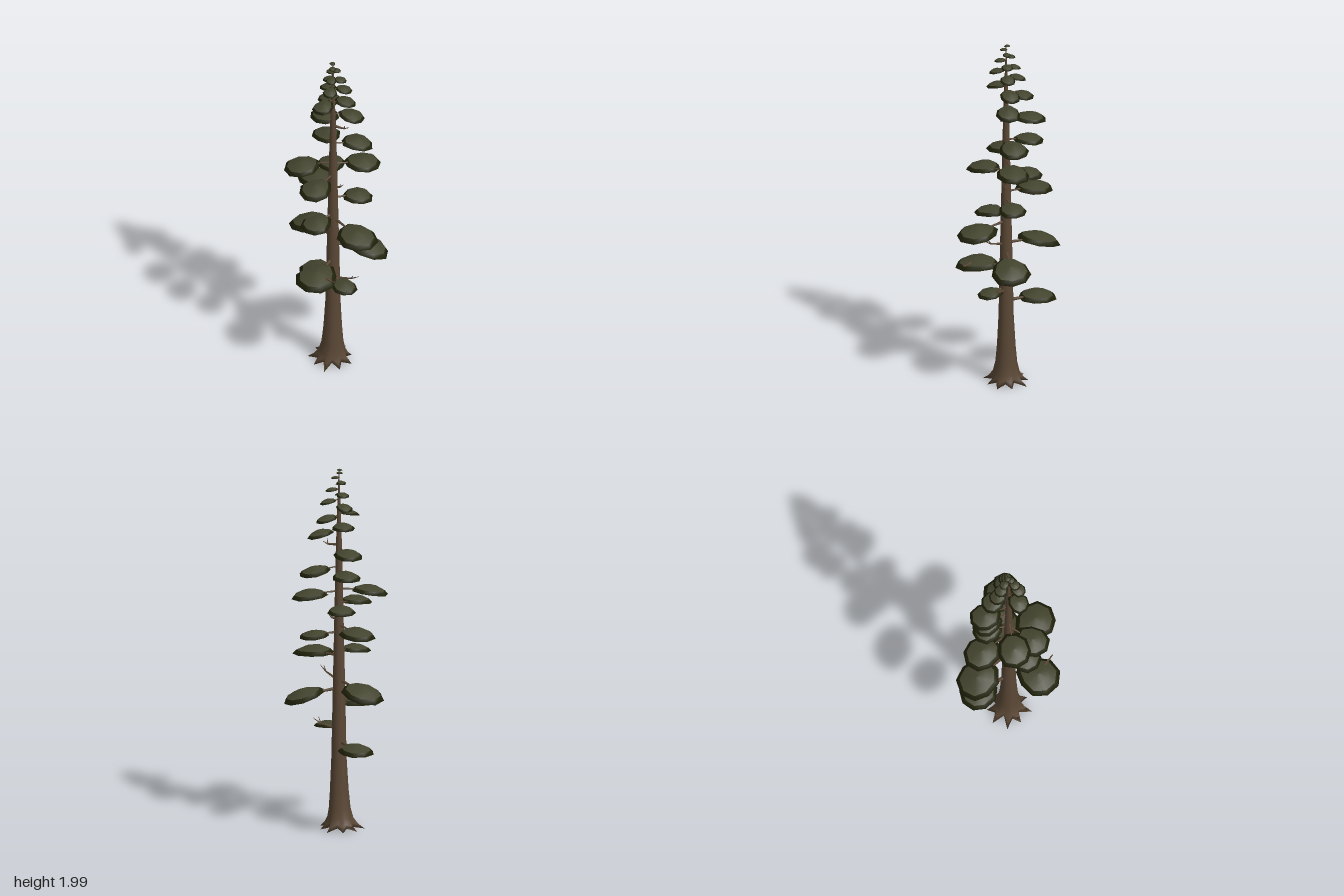
import * as THREE from 'three';

const bark = new THREE.MeshStandardMaterial({ color: 0x5a4735 });
bark.name = 'bark';
const needles = new THREE.MeshStandardMaterial({ color: 0x43442e });
needles.name = 'needles';
const darkNeedles = new THREE.MeshStandardMaterial({ color: 0x23250c });
darkNeedles.name = 'darkNeedles';

const AXIS_Z = -0.037;

// Surface through stacked rings, listed from bottom to top
function loft(rows, sides, point) {
  const pos = [], index = [];
  rows.forEach((row, i) => {
    for (let j = 0; j < sides; j++) {
      pos.push(...point(row, (j / sides) * Math.PI * 2, j));
      if (i === rows.length - 1) continue;
      const a = i * sides + j, b = i * sides + (j + 1) % sides;
      index.push(a, a + sides, b, b, a + sides, b + sides);
    }
  });
  const g = new THREE.BufferGeometry();
  g.setAttribute('position', new THREE.Float32BufferAttribute(pos, 3));
  g.setIndex(index);
  g.computeVertexNormals();
  return g;
}

function addMesh(parent, name, geometry, material) {
  const m = new THREE.Mesh(geometry, material);
  m.name = name;
  parent.add(m);
  return m;
}

// Tapered limb between two points
function limb(parent, name, from, to, r0, r1) {
  const d = to.clone().sub(from);
  const m = addMesh(parent, name, new THREE.CylinderGeometry(r1, r0, d.length(), 6), bark);
  m.position.copy(from).addScaledVector(d, 0.5);
  m.quaternion.setFromUnitVectors(new THREE.Vector3(0, 1, 0), d.normalize());
}

// Foliage pad: domed top, dark bevelled rim, shallow underside; +x points outward
const padLayers = [
  ['padUnderside', needles, [[0, -0.05], [0.8, -0.17]]],
  ['padRim', darkNeedles, [[0.8, -0.17], [1, -0.13], [0.81, 0.05]]],
  ['padTop', needles, [[0.81, 0.05], [0.45, 0.2], [0, 0.27]]],
];

function addPad(parent, x, y, z, size, droop, k) {
  const g = new THREE.Group();
  g.name = 'foliagePad';
  for (const [name, mat, rows] of padLayers) {
    addMesh(g, name, loft(rows, 9, ([r, h], t, j) => {
      const wob = size * (1 + 0.04 * Math.sin(j * 2.3 + k * 1.7));
      const c = Math.cos(t);
      return [r * c * wob, size * h, 0.9 * r * Math.sin(t) * wob * (1 + 0.12 * c)];
    }), mat);
  }
  g.position.set(x, y, z);
  g.rotation.order = 'YZX';
  g.rotation.y = Math.atan2(-(z - AXIS_Z), x);
  g.rotation.z = -droop;
  parent.add(g);

  // Branch carrying the pad
  const r = 0.016 * (1 - y / 2.15);
  const lift = Math.sin(droop) * size;
  limb(parent, 'branch', new THREE.Vector3(0, y + lift * 0.9, AXIS_Z),
    new THREE.Vector3(x * 0.8, y + lift * 0.15, AXIS_Z + (z - AXIS_Z) * 0.8), r, r * 0.4);
}

// Main pads: x, y, z, then droop and relative size where they are unusual
const pads = [
  [-0.15, 0.48, -0.148, 0.06, 0.9], [0.09, 0.56, 0.012, 0.08, 0.85],
  [-0.01, 0.675, 0.138, 0.1, 1.1], [0.162, 0.75, -0.143, 0.3], [-0.187, 0.8, -0.14, 0.26],
  [0.182, 0.95, 0.045, 0.08], [-0.042, 0.98, 0.078], [0.105, 1.085, -0.125, 0.1, 0.9],
  [-0.148, 1.12, -0.13], [-0.03, 1.24, 0.11], [-0.06, 1.24, -0.138],
  [-0.142, 1.32, 0.05, 0.14], [0.126, 1.31, -0.138], [-0.085, 1.43, -0.13],
  [0.1, 1.44, -0.13, 0.2], [-0.097, 1.552, -0.133], [0.085, 1.64, -0.09, 0.25],
  [-0.055, 1.695, -0.105], [-0.025, 1.74, 0.03, 0.2], [0.05, 1.725, -0.085, 0.25],
];

// Bare forked twigs: foot x, y, z, then tip x, y, z
const twigs = [
  [0, 0.55, AXIS_Z, 0.15, 0.6, -0.045], [0, 0.82, AXIS_Z, 0.14, 0.88, 0.025],
  [0.05, 0.69, 0.15, 0.12, 0.7, 0.168], [0, 1.16, AXIS_Z, 0.055, 1.185, -0.05],
  [0, 1.575, AXIS_Z, 0.09, 1.585, -0.045],
];

// Trunk rows: height, radius, root lobe strength
const trunkRows = [
  [0.02, 0, 0], [0.005, 0.096, 0.28], [0.03, 0.079, 0.19], [0.065, 0.066, 0.1],
  [0.12, 0.057, 0.05], [0.22, 0.05, 0.02], [0.4, 0.041, 0], [0.8, 0.033, 0],
  [1.55, 0.017, 0], [1.75, 0.01, 0], [1.99, 0.002, 0],
];

export function createModel() {
  const tree = new THREE.Group();
  tree.name = 'conifer';

  // Odd corners form the raised hollows between the roots
  const trunk = addMesh(tree, 'trunk', loft(trunkRows, 18, ([y, r, lobe], t, j) => {
    const k = r * (1 + (j % 2 ? -lobe : lobe) + lobe * 0.4 * Math.sin(j * 1.9));
    return [k * Math.cos(t) - lobe * 0.04, y + (j % 2) * lobe * 0.05, k * Math.sin(t)];
  }), bark);
  trunk.position.z = AXIS_Z;

  // Pads grow with their distance from the trunk
  pads.forEach(([x, y, z, droop = 0.1, scale = 1], k) => {
    const reach = Math.hypot(x, z - AXIS_Z);
    const size = 0.035 + 0.36 * reach + 0.022 * Math.max(0, 1 - y / 1.8);
    addPad(tree, x, y, z, size * scale, droop, k);
  });

  // Crown tip: shrinking pads that swing left, right and forward
  const swing = [2.45, 0.6, -1.4];
  for (let i = 0; i < 10; i++) {
    const f = i / 9;
    const reach = 0.06 * (1 - f) + 0.006;
    const angle = -swing[i % 3];
    addPad(tree, reach * Math.cos(angle), 1.795 + 0.195 * f,
      AXIS_Z + reach * Math.sin(angle), 0.05 - 0.033 * f, 0.25 * (1 - f), i);
  }

  for (const [x0, y0, z0, x, y, z] of twigs) {
    const from = new THREE.Vector3(x0, y0, z0);
    const tip = new THREE.Vector3(x, y, z);
    const fork = from.clone().lerp(tip, 0.7);
    fork.y -= 0.01;
    limb(tree, 'twig', from, fork, 0.009, 0.004);
    limb(tree, 'twigTip', fork, tip, 0.004, 0.001);
    limb(tree, 'twigFork', fork, fork.clone().add(new THREE.Vector3(x * 0.12, 0.03, 0.012)), 0.004, 0.001);
  }
  return tree;
}
